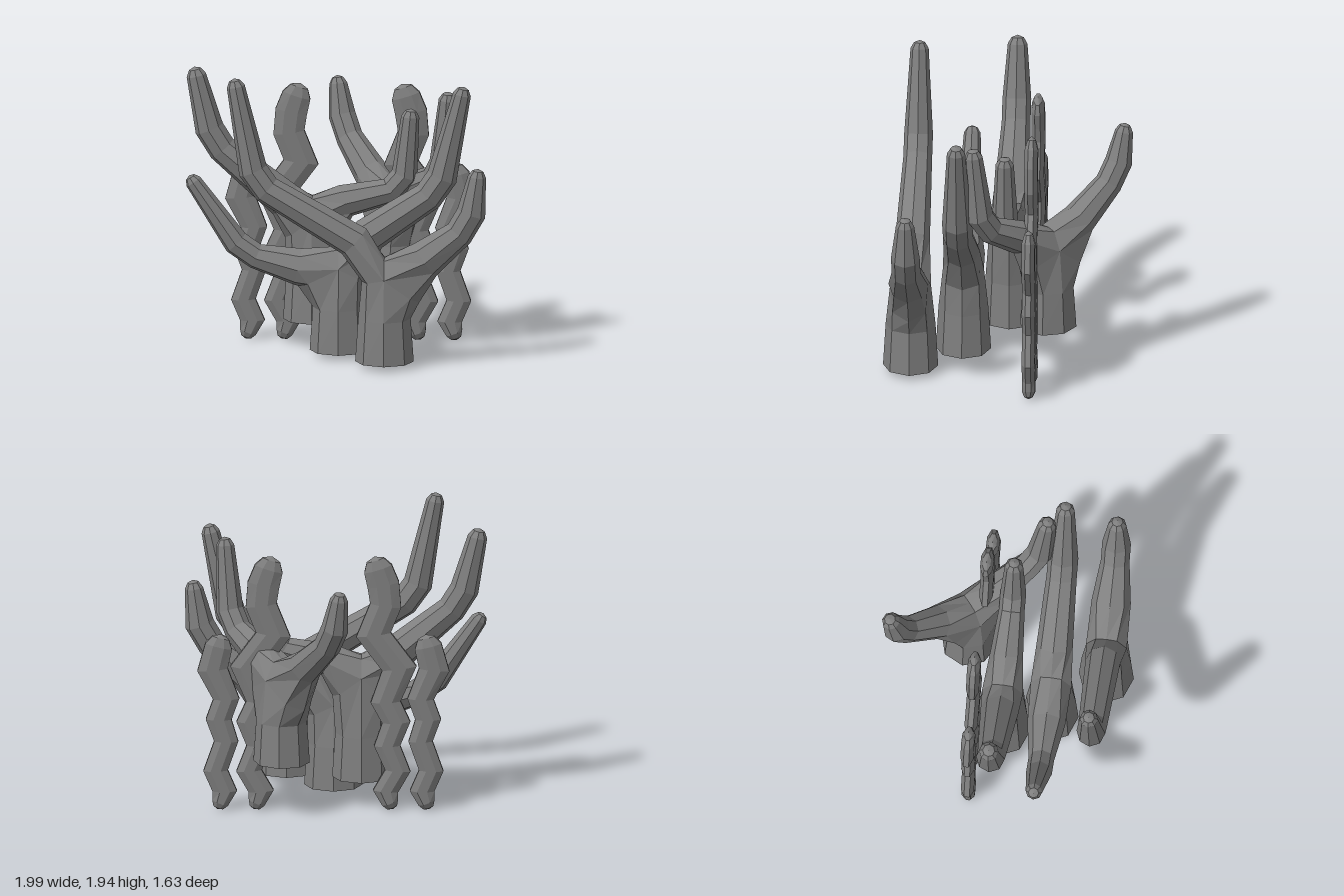
import * as THREE from 'three';

const SIDES = 8;
const V = (x, y, z) => new THREE.Vector3(x, y, z);

// Joins rings of eight points into a skin; an optional point closes each end.
function skin(rings, startPoint, endPoint) {
  const points = rings.flat(), idx = [], last = (rings.length - 1) * SIDES;
  for (let i = 0; i < SIDES; i++) {
    const j = (i + 1) % SIDES;
    for (let a = 0; a < last; a += SIDES) {
      const b = a + SIDES;
      idx.push(a + i, b + i, a + j, a + j, b + i, b + j);
    }
    if (startPoint) idx.push(rings.length * SIDES, i, j);
    if (endPoint) idx.push(rings.length * SIDES + (startPoint ? 1 : 0), last + j, last + i);
  }
  if (startPoint) points.push(startPoint);
  if (endPoint) points.push(endPoint);
  const g = new THREE.BufferGeometry().setFromPoints(points);
  g.setIndex(idx);
  g.computeVertexNormals();
  return g;
}

// Elliptical ring around (x, y), square to the in-plane direction t.
// A shift of half a step turns flat faces, instead of ridges, to the front and back.
function ring(x, y, t, r, d, shift = 0) {
  const grow = 1 / Math.cos((shift / SIDES) * Math.PI * 2);
  return Array.from({ length: SIDES }, (_, i) => {
    const a = ((i + shift) / SIDES) * Math.PI * 2, n = Math.cos(a) * r * grow;
    return V(x + t.y * n, y - t.x * n, Math.sin(a) * d * grow);
  });
}

// Rings along a path of [x, y, inPlaneRadius, depthRadius].
function pathRings(path, shift) {
  const pts = path.map(([x, y]) => new THREE.Vector2(x, y)), last = pts.length - 1;
  return path.map(([x, y, r, d = r], k) => {
    const a = pts[k].clone().sub(pts[Math.max(k - 1, 0)]).normalize();
    const b = pts[Math.min(k + 1, last)].clone().sub(pts[k]).normalize();
    const t = a.clone().add(b).normalize();
    const miter = k > 0 && k < last ? 1 / Math.max(t.dot(b), 0.85) : 1;
    return ring(x, y, t, r * miter, d, shift);
  });
}

// Extends a path past its end with a small ring, and returns the closing point too.
function roundEnd(path) {
  const [x0, y0] = path[path.length - 2], [x, y, r, d = r] = path[path.length - 1];
  const t = new THREE.Vector2(x - x0, y - y0).normalize().multiplyScalar(r);
  return {
    path: [...path, [x + t.x * 0.65, y + t.y * 0.65, r * 0.62, d * 0.62]],
    tip: V(x + t.x * 0.9, y + t.y * 0.9, 0),
  };
}

// Replaces the elbow of a [root, elbow, end] branch by two points, cutting its corner.
function cutElbow([root, elbow, end], cut = 0.085) {
  const toward = ([x, y]) => {
    const dx = x - elbow[0], dy = y - elbow[1], s = cut / Math.hypot(dx, dy);
    return [elbow[0] + dx * s, elbow[1] + dy * s, elbow[2]];
  };
  return [root, toward(root), toward(end), end];
}

// Forked corals: shoulders are [x, y] where each branch leaves the trunk,
// branch paths are [x, y, radius], all relative to the trunk axis.
const CORALS = [
  { x: 0.33, z: 0.63, turn: 0, base: 0.04, neck: 0.33, crotch: 0.73,
    leftShoulder: [-0.15, 0.58], left: [[-0.2, 0.85, 0.115], [-0.85, 1.24, 0.095], [-0.98, 1.89, 0.06]],
    rightShoulder: [0.23, 0.44], right: [[0.27, 0.73, 0.13], [0.56, 0.96, 0.095], [0.61, 1.29, 0.06]] },
  { x: 0.02, z: 0.3, turn: 0, base: 0.04, neck: 0.33, crotch: 0.73,
    leftShoulder: [-0.27, 0.47], left: [[-0.27, 0.6, 0.125], [-0.63, 0.69, 0.085], [-0.96, 1.17, 0.055]],
    rightShoulder: [0.17, 0.52], right: [[0.2, 0.82, 0.12], [0.66, 1.13, 0.1], [0.81, 1.77, 0.06]] },
  { x: -0.165, z: 0, turn: 0, base: 0.18, neck: 0.48, crotch: 1,
    leftShoulder: [-0.18, 0.73], left: [[-0.18, 0.98, 0.125], [-0.66, 1.38, 0.095], [-0.765, 1.82, 0.065]],
    rightShoulder: [0.19, 0.73], right: [[0.22, 0.98, 0.11], [0.6, 1.07, 0.085], [0.645, 1.55, 0.06]] },
  { x: 0.36, z: -0.28, turn: -0.9, base: 0.36, neck: 0.64, crotch: 1.05,
    leftShoulder: [-0.24, 0.76], left: [[-0.25, 1.06, 0.115], [-0.55, 1.31, 0.09], [-0.61, 1.6, 0.06]],
    rightShoulder: [0.23, 0.82], right: [[0.22, 1.04, 0.115], [0.54, 1.19, 0.09], [0.6, 1.71, 0.06]] },
];

// Wavy fronds: [x, y, half width] relative to the mirror line, bottom to top.
const FRONDS = {
  TallFrond: [[-0.44, 0.05, 0.055], [-0.41, 0.13, 0.075], [-0.49, 0.27, 0.075], [-0.42, 0.44, 0.08],
    [-0.48, 0.6, 0.085], [-0.41, 0.74, 0.09], [-0.5, 0.97, 0.1], [-0.33, 1.2, 0.1],
    [-0.41, 1.4, 0.1], [-0.395, 1.54, 0.105], [-0.36, 1.65, 0.095]],
  ShortFrond: [[-0.68, 0.05, 0.055], [-0.65, 0.13, 0.075], [-0.71, 0.27, 0.075], [-0.64, 0.47, 0.075],
    [-0.69, 0.62, 0.08], [-0.64, 0.76, 0.08], [-0.73, 0.96, 0.095], [-0.69, 1.12, 0.09]],
};

export function createModel() {
  const model = new THREE.Group();
  model.name = 'coralAndSeaweed';
  const gray = new THREE.MeshStandardMaterial({ color: 0x7f7f7f });
  gray.name = 'stoneGray';
  gray.flatShading = true;

  const add = (parent, name, geometry) => {
    const mesh = new THREE.Mesh(geometry, gray);
    mesh.name = name;
    parent.add(mesh);
    return mesh;
  };

  CORALS.forEach((c, i) => {
    const coral = new THREE.Group();
    coral.name = `coral${i + 1}`;
    coral.position.set(c.x, 0, c.z);
    coral.rotation.y = c.turn;

    // fork ring: both shoulders, joined by raised points front and back
    const [rx, ry] = c.rightShoulder, [lx, ly] = c.leftShoulder, mid = c.crotch - 0.12;
    const side = (x, y, z) => V(x * 0.75, y + (mid - y) * 0.25, z);
    const fork = [
      V(rx, ry, 0), side(rx, ry, 0.11), V(0, mid, 0.135), side(lx, ly, 0.11),
      V(lx, ly, 0), side(lx, ly, -0.11), V(0, mid, -0.135), side(rx, ry, -0.11),
    ];
    const up = new THREE.Vector2(0, 1);
    add(coral, 'trunk', skin(
      [ring(0, c.base, up, 0.193, 0.182), ring(0, c.neck, up, 0.173, 0.165), fork],
      V(0, c.base - 0.015, 0),
    ));

    // each branch starts from its half of the fork ring and the saddle between the branches
    const saddle = [V(0, c.crotch, 0.07), V(0, c.crotch + 0.01, 0), V(0, c.crotch, -0.07)];
    const rightStart = [fork[0], fork[1], fork[2], ...saddle, fork[6], fork[7]];
    const leftStart = [saddle[1], saddle[0], ...fork.slice(2, 7), saddle[2]];
    for (const [name, start, path] of [['leftBranch', leftStart, c.left], ['rightBranch', rightStart, c.right]]) {
      const end = roundEnd([[0, mid - 0.05, 0.1], ...cutElbow(path)]);
      add(coral, name, skin([start, ...pathRings(end.path).slice(1)], null, end.tip));
    }
    model.add(coral);
  });

  // each frond appears on both sides of the mirror line
  for (const [name, path] of Object.entries(FRONDS)) {
    for (const side of [1, -1]) {
      const points = path.map(([x, y, w]) => [x * side, y, w, 0.043]);
      const top = roundEnd(points);
      const bottom = roundEnd([...top.path].reverse());
      const rings = pathRings(bottom.path.reverse(), 0.5);
      const frond = add(model, `${side > 0 ? 'right' : 'left'}${name}`, skin(rings, bottom.tip, top.tip));
      frond.position.set(0.085, 0, -0.175);
    }
  }
  return model;
}
